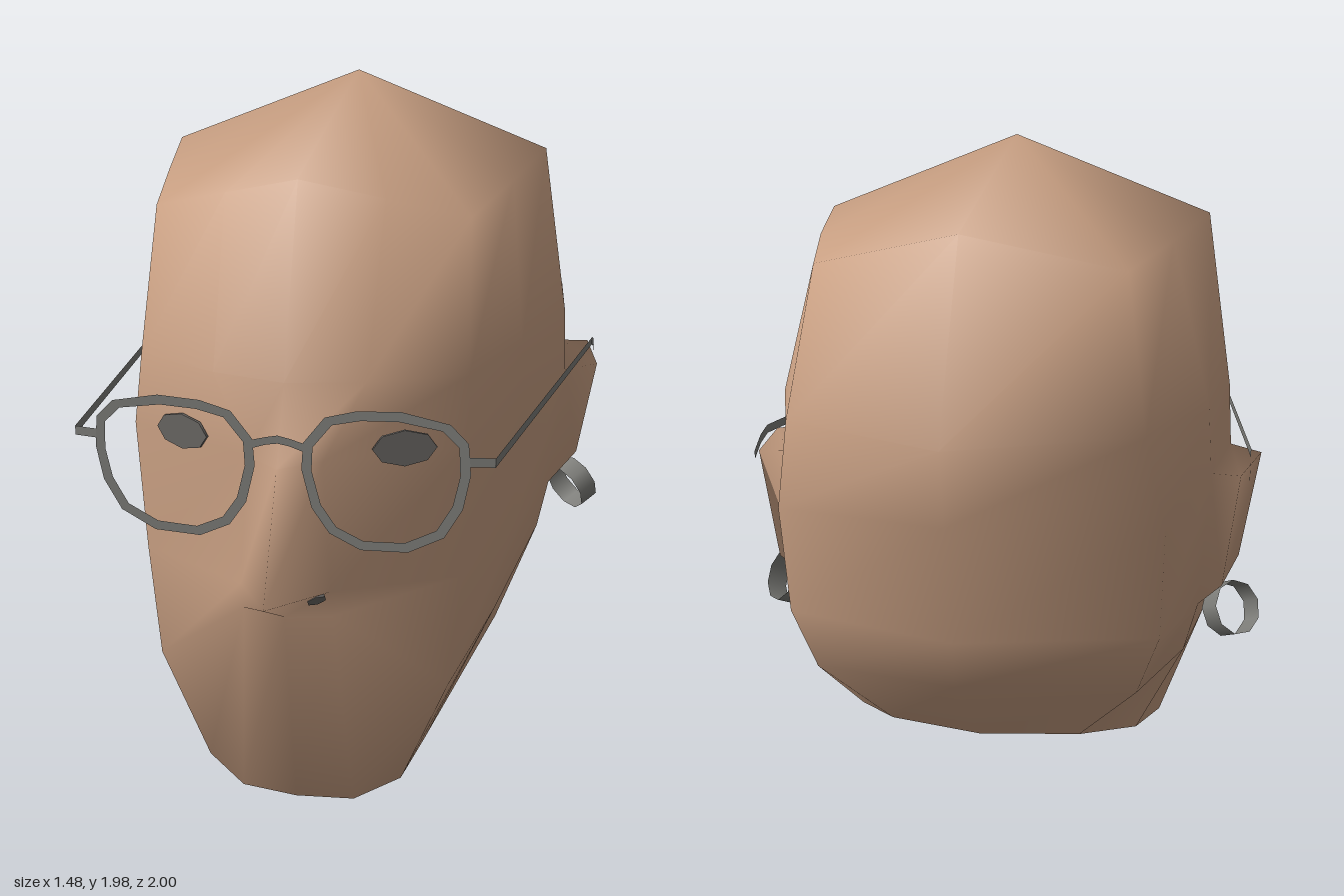
import * as THREE from 'three';

const mat = (name, color) => {
  const m = new THREE.MeshStandardMaterial({ color, side: THREE.DoubleSide });
  m.name = name;
  return m;
};

export function createModel() {
  const group = new THREE.Group();
  const skin = mat('skin', 0xc89f82);
  const metal = mat('metal', 0x7c7c78);
  const dark = mat('eyeGrey', 0x696663);

  const add = (name, geo, material) => {
    const m = new THREE.Mesh(geo, material);
    m.name = name;
    group.add(m);
    return m;
  };
  const indexed = (points, index) => {
    const g = new THREE.BufferGeometry();
    g.setAttribute('position', new THREE.Float32BufferAttribute(points.flat(), 3));
    g.setIndex(index);
    g.computeVertexNormals();
    return g;
  };

  // Head: half rings from front centre round the left side to back centre
  const crown = [[0, 1.78, .62], [.21, 1.73, .56], [.42, 1.68, .5], [.49, 1.73, .2],
    [.55, 1.78, -.08], [.48, 1.735, -.4], [.4, 1.69, -.69], [0, 1.78, -.78]];
  const brow = [[0, 1.3, .78], [.2, 1.3, .73], [.44, 1.3, .61], [.54, 1.3, .3],
    [.625, 1.3, -.1], [.59, 1.3, -.44], [.46, 1.3, -.775], [0, 1.3, -1]];
  const eyeLine = [[0, 1.1, .86], [.1, 1.1, .78], [.45, 1.12, .65], [.55, 1.12, .3],
    [.635, 1.12, -.09], [.6, 1.12, -.42], [.51, 1.05, -.73], [0, 1.1, -.965]];
  const noseTip = [[0, .78, 1], [.12, .75, .8], [.44, .75, .63], [.53, .75, .3],
    [.6, .75, -.1], [.575, .73, -.38], [.5, .75, -.7], [0, .78, -.905]];
  const lip = [[0, .67, .81], [.12, .67, .78], [.41, .43, .64], [.49, .5, .3],
    [.57, .6, -.1], [.54, .6, -.4], [.44, .58, -.67], [0, .65, -.88]];
  const jaw = [[0, .07, .72], [.16, .07, .7], [.28, .11, .63], [.3, .07, .35],
    [.45, .27, -.1], [.41, .34, -.38], [.27, .38, -.54], [0, .39, -.61]];
  const full = (half) => [...half, ...half.slice(1, -1).reverse().map(([x, y, z]) => [-x, y, z])];
  const rings = [crown, brow, eyeLine, noseTip, lip, jaw].map(full);
  const n = rings[0].length;
  const points = rings.flat();
  const top = points.push([0, 1.99, -.08]) - 1;
  const throat = points.push([0, .01, .36]) - 1;
  const faces = [];

  // Ears are pulled out of one side panel each: lower front, lower back, upper back, upper front
  const earEdge = [[.675, .82, -.2], [.64, .8, -.41], [.68, 1.12, -.43], [.725, 1.12, -.17]];
  const pullEar = (base, outer) => {
    const first = points.length;
    points.push(...outer);
    for (let k = 0; k < 4; k++) {
      const m = (k + 1) % 4;
      faces.push(base[k], base[m], first + m, base[k], first + m, first + k);
    }
    faces.push(first, first + 1, first + 2, first, first + 2, first + 3);
  };

  const last = (rings.length - 1) * n;
  for (let i = 0; i < n; i++) {
    const j = (i + 1) % n;
    faces.push(i, j, top);
    for (let r = 0; r < rings.length - 1; r++) {
      const u = r * n, l = u + n;
      const quad = [l + i, l + j, u + j, u + i];
      if (r === 2 && i === 4) {
        pullEar(quad, earEdge);
      } else if (r === 2 && j === n - 4) {
        pullEar(quad, [1, 0, 3, 2].map((k) => [-earEdge[k][0], earEdge[k][1], earEdge[k][2]]));
      } else {
        faces.push(quad[0], quad[1], quad[2], quad[0], quad[2], quad[3]);
      }
    }
    // Underside of the chin; the neck behind it is open
    if (i < 3 || i >= n - 3) faces.push(last + j, last + i, throat);
  }
  add('head', indexed(points, faces), skin);

  // Flat lens outline, left lens
  const outline = [[.475, 1.2], [.43, 1.245], [.31, 1.268], [.2, 1.262], [.12, 1.24], [.065, 1.17],
    [.06, 1.1], [.085, 1.0], [.13, .935], [.21, .897], [.33, .902], [.42, .95], [.465, 1.03], [.482, 1.12]]
    .map(([x, y]) => new THREE.Vector2(x, y));
  const centre = new THREE.Vector2(.272, 1.085);
  const inner = outline.map((p) => {
    const d = p.clone().sub(centre);
    return centre.clone().add(d.setLength(d.length() - .026));
  });
  const rimZ = .845;

  for (const s of [1, -1]) {
    const side = s > 0 ? 'left' : 'right';

    // Earring: thin open band, its axis pointing out, back and a little up
    const hoop = new THREE.CylinderGeometry(.078, .078, .065, 9, 1, true);
    const ring = add(side + 'Earring', hoop, metal);
    ring.position.set(s * .662, .685, -.28);
    ring.quaternion.setFromUnitVectors(new THREE.Vector3(0, 1, 0),
      new THREE.Vector3(s * .64, .4, -.66).normalize());

    // Eye: thin plate lying on the face
    const eye = new THREE.CylinderGeometry(1, 1, 1, 8);
    eye.rotateX(Math.PI / 2).scale(.083, .048, .008);
    const eyeMesh = add(side + 'Eye', eye, dark);
    eyeMesh.position.set(s * .295, 1.128, .713);
    eyeMesh.rotation.y = s * .36;

    // Spectacle rim
    const mirror = (p) => new THREE.Vector2(s * p.x, p.y);
    const rimShape = new THREE.Shape(outline.map(mirror));
    rimShape.holes.push(new THREE.Path(inner.map(mirror)));
    add(side + 'Rim', new THREE.ShapeGeometry(rimShape), metal).position.z = rimZ;

    // Hinge and temple arm: one upright ribbon
    const path = [[.475, 1.153, rimZ], [.54, 1.153, .835], [.7, 1.153, -.31], [.702, 1.135, -.36], [.702, 1.1, -.41]];
    const ribbon = path.flatMap(([x, y, z]) => [[s * x, y - .012, z], [s * x, y + .012, z]]);
    const quads = [];
    for (let i = 0; i < path.length - 1; i++) {
      const a = i * 2;
      quads.push(a, a + 2, a + 3, a, a + 3, a + 1);
    }
    if (s > 0) quads.reverse();
    add(side + 'TempleArm', indexed(ribbon, quads).toNonIndexed(), metal).geometry.computeVertexNormals();
  }

  // Bridge between the rims
  const bridge = new THREE.Shape([[-.07, 1.145], [-.03, 1.158], [0, 1.163], [.03, 1.158], [.07, 1.145],
    [.07, 1.167], [.03, 1.178], [0, 1.184], [-.03, 1.178], [-.07, 1.167]]
    .map(([x, y]) => new THREE.Vector2(x, y)));
  add('bridge', new THREE.ShapeGeometry(bridge), metal).position.z = rimZ;

  // Small nostril mark under the nose
  const nostril = new THREE.CylinderGeometry(1, 1, 1, 6);
  nostril.rotateX(Math.PI / 2).scale(.027, .018, .008);
  const mark = add('nostril', nostril, dark);
  mark.position.set(.09, .737, .825);
  mark.rotation.set(.6, .45, 0);

  return group;
}
